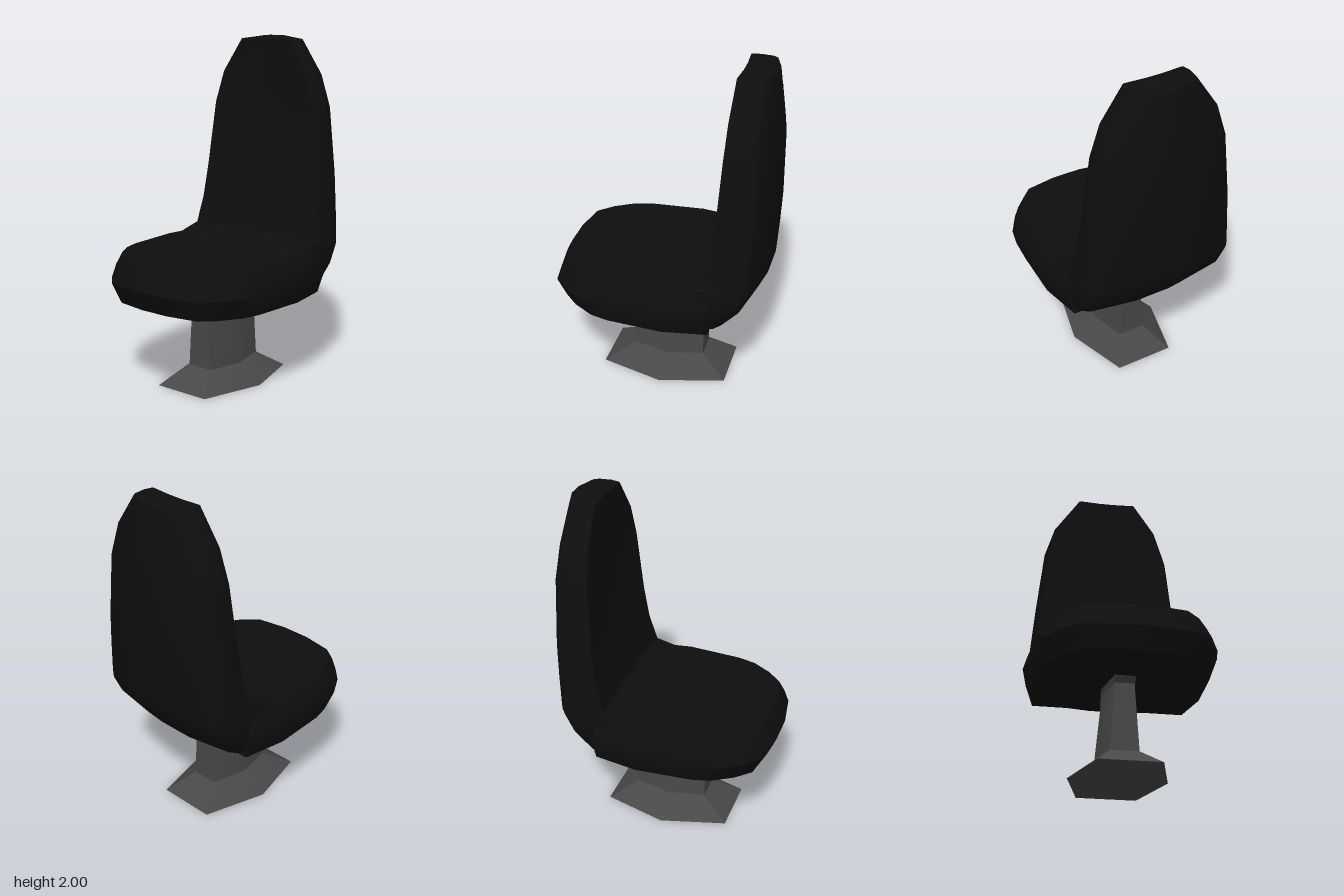
import * as THREE from 'three';
import { toCreasedNormals } from 'three/addons/utils/BufferGeometryUtils.js';

// Mirror a half outline (front to rear, +x side) into a full ring of [x, y, z] points
function ring(half) {
  const other = half.map(([x, y, z]) => [-x, y, z]).reverse();
  return [...half, ...other].filter((p, i, all) =>
    i === 0 || Math.hypot(p[0] - all[i - 1][0], p[2] - all[i - 1][2]) > 1e-6);
}

// Skin a stack of rings from bottom to top and close both ends
function loft(rings, crease) {
  const pos = [];
  const tri = (a, b, c) => pos.push(...a, ...b, ...c);
  const n = rings[0].length;
  const middle = (r) => [0, 1, 2].map((k) => r.reduce((s, p) => s + p[k], 0) / n);
  const low = rings[0], high = rings[rings.length - 1];
  const lowMid = middle(low), highMid = middle(high);
  for (let j = 0; j < n; j++) {
    const k = (j + 1) % n;
    for (let i = 0; i < rings.length - 1; i++) {
      const a = rings[i], b = rings[i + 1];
      tri(a[j], a[k], b[k]);
      tri(a[j], b[k], b[j]);
    }
    tri(lowMid, low[k], low[j]);
    tri(highMid, high[j], high[k]);
  }
  const geometry = new THREE.BufferGeometry();
  geometry.setAttribute('position', new THREE.Float32BufferAttribute(pos, 3));
  return toCreasedNormals(geometry, crease);
}

export function createModel() {
  const group = new THREE.Group();
  const upholstery = new THREE.MeshStandardMaterial({ color: 0x0e0e0e });
  upholstery.name = 'black upholstery';
  const metal = new THREE.MeshStandardMaterial({ color: 0x484848 });
  metal.name = 'dark grey metal';

  const add = (name, geometry, material) => {
    const mesh = new THREE.Mesh(geometry, material);
    mesh.name = name;
    group.add(mesh);
  };

  // Seat cushion: rounded outline, bulging at mid height
  const outline = [[0.10, 0.64], [0.31, 0.605], [0.40, 0.515], [0.48, 0.385],
    [0.51, 0.27], [0.535, -0.08], [0.49, -0.34]];
  const seatRings = [[0.525, 0.915, 0.92], [0.645, 1, 1], [0.725, 0.955, 0.96], [0.79, 0.9, 0.91]]
    .map(([y, sx, sz]) => ring(outline.map(([x, z]) => [x * sx, y, z > 0 ? z * sz : z])));
  add('seat', loft(seatRings, 0.7), upholstery);

  // Backrest: height, half width, front z, rear z
  const backRings = [
    [0.525, 0.44, -0.105, -0.365],
    [0.56, 0.45, -0.105, -0.455],
    [0.675, 0.47, -0.105, -0.555],
    [0.79, 0.475, -0.105, -0.61],
    [0.835, 0.472, -0.29, -0.613],
    [1.0, 0.455, -0.335, -0.625],
    [1.2, 0.435, -0.36, -0.635],
    [1.59, 0.39, -0.385, -0.635],
    [1.78, 0.33, -0.395, -0.615],
    [1.98, 0.19, -0.405, -0.595],
    [2.0, 0.06, -0.47, -0.54],
  ].map(([y, w, front, rear]) => {
    const k = Math.min(1, (front - rear) / 0.25);
    return ring([
      [0.25 * w, y, front - 0.012 * k], [0.93 * w, y, front],
      [w, y, rear + 0.18 * k], [0.95 * w, y, rear + 0.085 * k],
      [0.85 * w, y, rear + 0.05 * k], [0.25 * w, y, rear],
    ]);
  });
  add('backrest', loft(backRings, 0.7), upholstery);

  // Six-sided pedestal: height, side corner x, end corner x, front z, rear z
  const hexagon = ([y, side, end, front, rear]) =>
    ring([[end, y, front], [side, y, (front + rear) / 2], [end, y, rear]]);
  const foot = [0, 0.28, 0.175, 0.37, -0.385];
  const ankle = [0.105, 0.13, 0.08, 0.205, -0.228];
  const neck = [0.49, 0.09, 0.055, 0.205, -0.228];
  const collar = [0.53, 0.097, 0.06, 0.235, -0.258];
  add('base', loft([foot, ankle].map(hexagon), 0.4), metal);
  add('column', loft([ankle, neck].map(hexagon), 0.8), metal);
  add('collar', loft([neck, collar].map(hexagon), 0.8), metal);

  return group;
}
